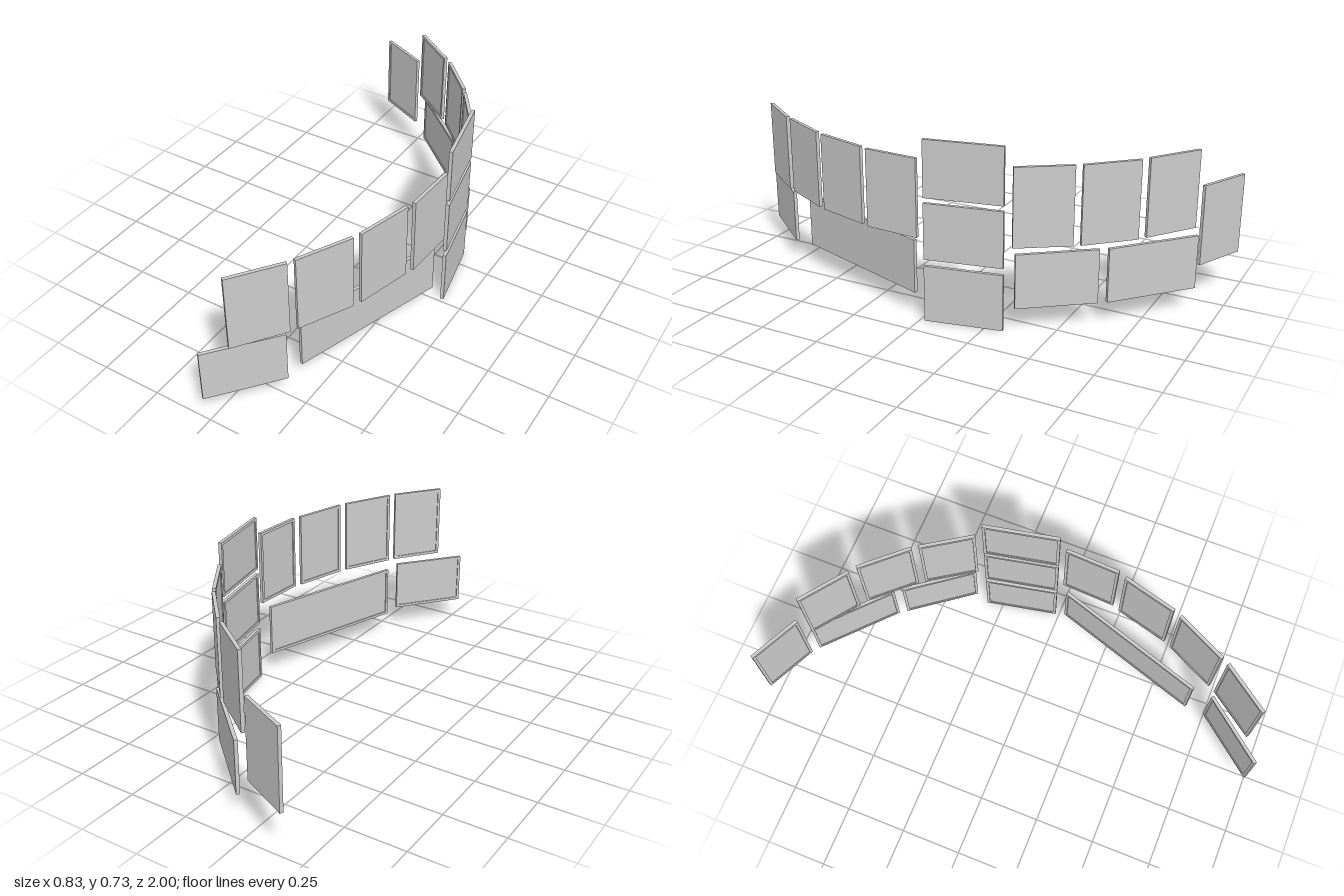
import * as THREE from 'three';

const T = 0.014;      // panel thickness
const RECESS = 0.004; // depth of the inset face
const RIM = 0.012;    // width of the raised border

// Names, plan ends [back x, back z, front x, front z], then bottom and top heights
const UPPER = [0.338, 0.653], LOWER = [0.095, 0.315];
const COLUMN = [0.347, -0.3205, 0.408, -0.0165];
const PANELS = [
  ['upperPanel1', [0.192, 0.749, 0.058, 0.931], UPPER],
  ['upperPanel2', [0.310, 0.518, 0.206, 0.722], UPPER],
  ['upperPanel3', [0.383, 0.267, 0.323, 0.488], UPPER],
  ['upperPanel4', [0.408, 0.011, 0.396, 0.236], UPPER],
  ['upperPanel5', [0.206, -0.536, 0.332, -0.347], UPPER],
  ['upperPanel6', [0.035, -0.726, 0.190, -0.559], UPPER],
  ['upperPanel7', [-0.178, -0.880, 0.005, -0.746], UPPER],
  ['endPanel', [-0.415, -0.994, -0.210, -0.897], [0.171, 0.501]],
  ['columnPanelBottom', COLUMN, [0, 0.229]],
  ['columnPanelMiddle', COLUMN, [0.256, 0.483]],
  ['columnPanelTop', COLUMN, [0.504, 0.731]],
  ['lowerPanel1', [0.173, 0.749, -0.029, 0.996], LOWER],
  ['lowerPanel2', [0.383, 0.036, 0.176, 0.666], LOWER],
  ['lowerPanel3', [0.140, -0.616, 0.333, -0.360], LOWER],
  ['lowerPanel4', [-0.160, -0.900, 0.120, -0.645], LOWER],
];

function rectangle(path, w, h) {
  path.moveTo(-w / 2, -h / 2);
  path.lineTo(w / 2, -h / 2);
  path.lineTo(w / 2, h / 2);
  path.lineTo(-w / 2, h / 2);
  path.closePath();
  return path;
}

// Flat plate with a raised border on its inward (+z) face
function createPanel(name, w, h, material) {
  const panel = new THREE.Group();
  panel.name = name;

  const plateDepth = T - RECESS;
  const plate = new THREE.Mesh(new THREE.BoxGeometry(w, h, plateDepth), material);
  plate.name = 'plate';
  plate.position.z = -RECESS / 2;

  const outline = rectangle(new THREE.Shape(), w, h);
  outline.holes.push(rectangle(new THREE.Path(), w - 2 * RIM, h - 2 * RIM));
  const rim = new THREE.Mesh(
    new THREE.ExtrudeGeometry(outline, { depth: RECESS, bevelEnabled: false }), material);
  rim.name = 'rim';
  rim.position.z = T / 2 - RECESS;

  panel.add(plate, rim);
  return panel;
}

export function createModel() {
  const model = new THREE.Group();
  model.name = 'curvedPanelWall';
  const material = new THREE.MeshStandardMaterial({ color: 0xcccccc });

  for (const [name, [x0, z0, x1, z1], [bottom, top]] of PANELS) {
    const panel = createPanel(name, Math.hypot(x1 - x0, z1 - z0), top - bottom, material);
    panel.position.set((x0 + x1) / 2, (bottom + top) / 2, (z0 + z1) / 2);
    // Turn the panel so its rimmed face looks into the curve
    panel.rotation.y = Math.atan2(z0 - z1, x1 - x0);
    model.add(panel);
  }
  return model;
}
